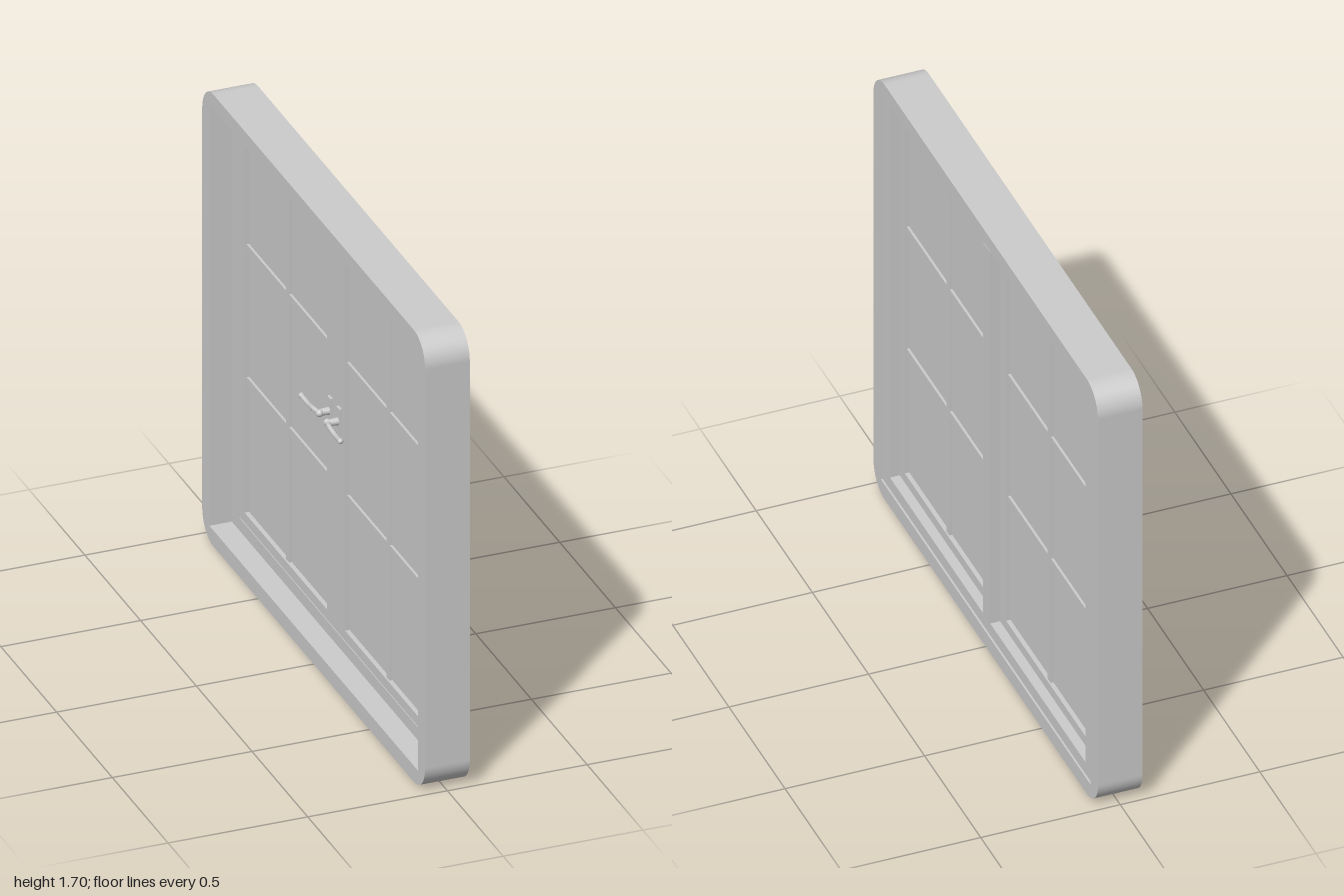
import * as THREE from 'three';

const H = 1.7;
const grey = new THREE.MeshStandardMaterial({ color: 0xcccccc });

function add(parent, name, geo, x = 0, y = 0, z = 0) {
  const m = new THREE.Mesh(geo, grey);
  m.name = name;
  m.position.set(x, y, z);
  parent.add(m);
  return m;
}

// box given by its limits on each axis
function span(parent, name, x0, x1, y0, y1, z0, z1) {
  return add(parent, name, new THREE.BoxGeometry(x1 - x0, y1 - y0, z1 - z0),
    (x0 + x1) / 2, (y0 + y1) / 2, (z0 + z1) / 2);
}

// rectangle [u0,u1] x [v0,v1] with optional corner radius
function rect(u0, u1, v0, v1, r = 0, Type = THREE.Shape) {
  const s = new Type();
  if (r === 0) {
    s.moveTo(u0, v0); s.lineTo(u1, v0); s.lineTo(u1, v1); s.lineTo(u0, v1); s.closePath();
    return s;
  }
  s.moveTo(u0 + r, v0);
  s.lineTo(u1 - r, v0); s.absarc(u1 - r, v0 + r, r, -Math.PI / 2, 0, false);
  s.lineTo(u1, v1 - r); s.absarc(u1 - r, v1 - r, r, 0, Math.PI / 2, false);
  s.lineTo(u0 + r, v1); s.absarc(u0 + r, v1 - r, r, Math.PI / 2, Math.PI, false);
  s.lineTo(u0, v0 + r); s.absarc(u0 + r, v0 + r, r, Math.PI, Math.PI * 1.5, false);
  return s;
}

// ring with a hole, lying in the z/y plane between x0 and x1
function ring(outer, hole, x0, x1) {
  outer.holes.push(hole);
  const g = new THREE.ExtrudeGeometry(outer, { depth: x1 - x0, bevelEnabled: false, curveSegments: 12 });
  g.rotateY(Math.PI / 2);
  g.translate(x0, 0, 0);
  return g;
}

// one casement on the side s (+1 or -1) of the centre line
function casement(s) {
  const g = new THREE.Group();
  g.name = s > 0 ? 'frontCasement' : 'rearCasement';
  const box = (name, x0, x1, y0, y1, a, b) =>
    span(g, name, x0, x1, y0, y1, Math.min(s * a, s * b), Math.max(s * a, s * b));

  const u = [-s * 0.866, -s * 0.002].sort((a, b) => a - b);
  const h = [-s * 0.82, -s * 0.082].sort((a, b) => a - b);
  add(g, 'sash', ring(rect(u[0], u[1], 0.112, 1.638), rect(h[0], h[1], 0.15, 1.605, 0, THREE.Path), 0, 0.04));
  box('glass', 0.016, 0.024, 0.145, 1.61, 0.825, 0.077);

  // glazing bars, two panes wide and three high
  box('verticalBar', 0.006, 0.034, 0.15, 1.605, 0.465, 0.437);
  for (const y of [0.645, 1.145]) box('crossBar', 0.007, 0.033, y - 0.014, y + 0.014, 0.82, 0.082);

  // half of the cover strip over the meeting stiles
  box('coverStrip', 0.035, 0.078, 0.112, 1.638, 0.001, 0.028);

  // lever handle on the inner side
  const handle = new THREE.Group();
  handle.name = 'handle';
  handle.position.set(0, 0.92, s * 0.04);
  g.add(handle);
  add(handle, 'handlePlate', new THREE.BoxGeometry(0.01, 0.1, 0.03), -0.005, 0, 0);
  const neck = add(handle, 'handleNeck', new THREE.CylinderGeometry(0.011, 0.014, 0.04, 16), -0.028, 0, 0);
  neck.rotation.z = Math.PI / 2;
  const path = new THREE.CatmullRomCurve3([
    [-0.045, 0, -0.005], [-0.052, 0.002, 0.03], [-0.05, -0.006, 0.08], [-0.054, 0, 0.135],
  ].map(([x, y, z]) => new THREE.Vector3(x, y, s * z)));
  add(handle, 'handleLever', new THREE.TubeGeometry(path, 20, 0.009, 10));
  for (const t of [0, 1]) {
    const p = path.getPoint(t);
    add(handle, 'leverEnd', new THREE.SphereGeometry(t ? 0.01 : 0.013, 14, 10), p.x, p.y, p.z);
  }
  return g;
}

export function createModel() {
  const root = new THREE.Group();
  root.name = 'window';

  // outer frame with rounded corners
  add(root, 'outerFrame',
    ring(rect(-1, 1, 0, H, 0.1), rect(-0.935, 0.935, 0.06, 1.645, 0, THREE.Path), -0.08, 0.08));

  // inner casing, set back from the outer frame
  add(root, 'innerCasing',
    ring(rect(-0.94, 0.94, 0.055, 1.65), rect(-0.87, 0.87, 0.108, 1.641, 0, THREE.Path), 0, 0.073));

  for (const s of [1, -1]) root.add(casement(s));
  return root;
}
